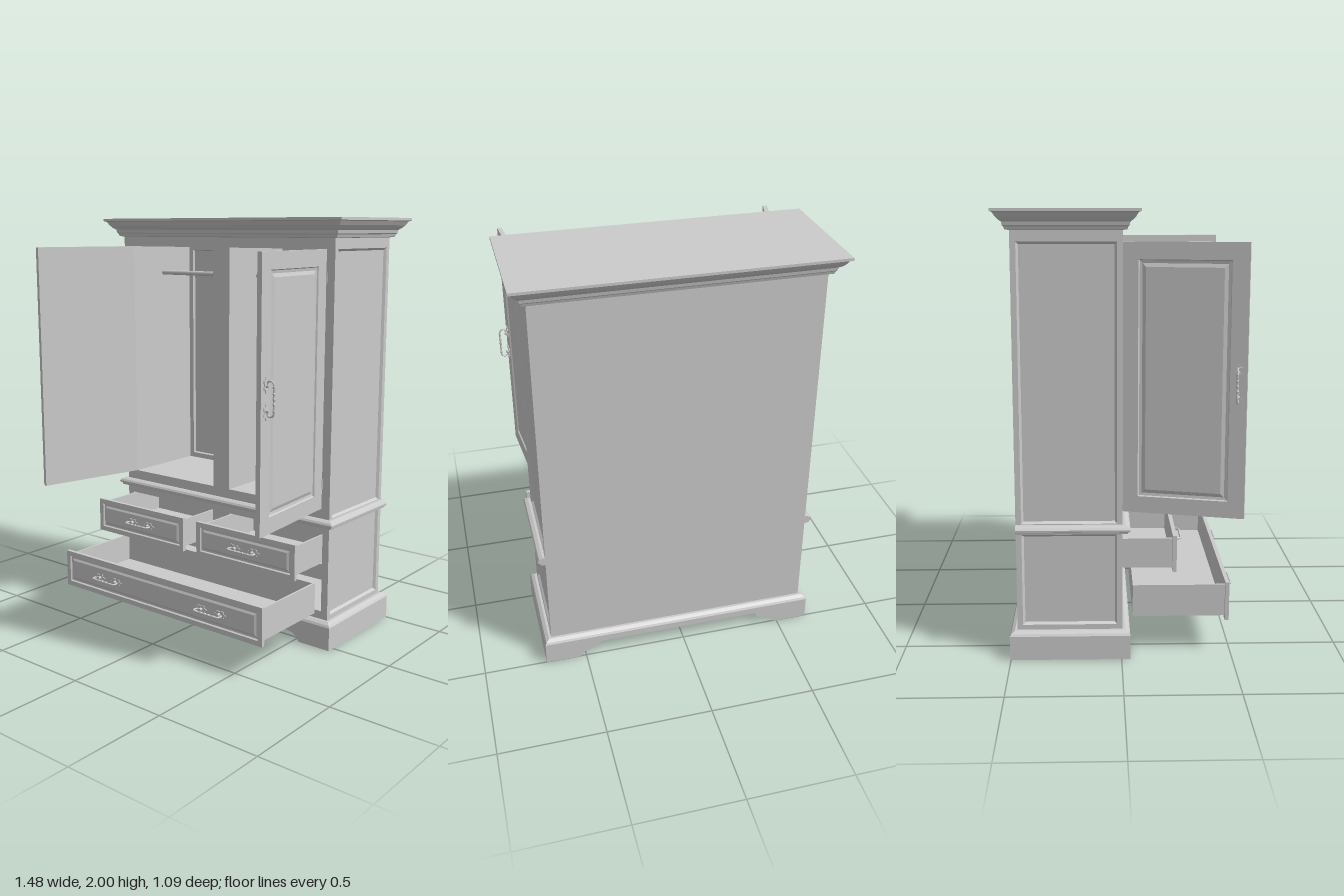
import * as THREE from 'three';

const mat = new THREE.MeshStandardMaterial({ color: 0xcccccc });
const CX = 0.022, HW = 0.643, ZB = -0.47, ZF = 0.005;
const ZC = (ZB + ZF) / 2, DEPTH = ZF - ZB;

function add(parent, name, geo, x = 0, y = 0, z = 0) {
  const m = new THREE.Mesh(geo, mat);
  m.name = name;
  m.position.set(x, y, z);
  parent.add(m);
  return m;
}

const box = (parent, name, x0, x1, y0, y1, z0, z1) =>
  add(parent, name, new THREE.BoxGeometry(x1 - x0, y1 - y0, z1 - z0),
    (x0 + x1) / 2, (y0 + y1) / 2, (z0 + z1) / 2);

// Mitred rectangle lofted through [inset, height] steps, capped at both ends.
// "topSide" scales the inset of the +y edge (0 keeps that edge flush).
function mitred(w, h, profile, topSide = 1) {
  const rings = profile.map(([i, z]) => {
    const x = w / 2 - i, b = -h / 2 + i, t = h / 2 - i * topSide;
    return [[-x, b, z], [x, b, z], [x, t, z], [-x, t, z]];
  });
  const pos = [];
  const quad = (a, b, c, d) => [a, b, c, a, c, d].forEach(p => pos.push(...p));
  const first = rings[0], last = rings[rings.length - 1];
  quad(first[3], first[2], first[1], first[0]);
  quad(...last);
  for (let r = 0; r < rings.length - 1; r++)
    for (let k = 0; k < 4; k++) {
      const n = (k + 1) % 4;
      quad(rings[r][k], rings[r][n], rings[r + 1][n], rings[r + 1][k]);
    }
  const g = new THREE.BufferGeometry();
  g.setAttribute('position', new THREE.Float32BufferAttribute(pos, 3));
  g.computeVertexNormals();
  return g;
}

// Horizontal moulding round the body; profile is [overhang, y]
function moulding(parent, name, profile, backSide = 1) {
  const g = mitred(2 * HW, DEPTH, profile.map(([o, y]) => [-o, y]), backSide);
  g.rotateX(-Math.PI / 2);
  add(parent, name, g, CX, 0, ZC);
}

function rectPath(Type, x0, x1, y0, y1) {
  const p = new Type();
  p.moveTo(x0, y0); p.lineTo(x1, y0); p.lineTo(x1, y1); p.lineTo(x0, y1); p.closePath();
  return p;
}

// Bail handle: bar along x, standing out towards +z
function makeHandle() {
  const g = new THREE.Group();
  g.name = 'handle';
  const half = [[0.05, 0.012], [0.068, 0.01], [0.075, 0.02], [0.07, 0.035], [0.055, 0.041], [0.025, 0.04]];
  const pts = [...half.map(([x, z]) => new THREE.Vector3(-x, 0, z)),
    ...half.slice().reverse().map(([x, z]) => new THREE.Vector3(x, 0, z))];
  add(g, 'bail', new THREE.TubeGeometry(new THREE.CatmullRomCurve3(pts), 40, 0.0045, 8));
  for (const x of [-0.05, -0.022, 0, 0.022, 0.05])
    add(g, 'bead', new THREE.SphereGeometry(0.0065, 10, 8), x, 0, 0.04).scale.x = 1.3;
  // scalloped plate and post at each end
  const outline = [];
  for (let i = 0; i < 48; i++) {
    const a = i / 48 * Math.PI * 2, r = 1 + 0.2 * Math.cos(6 * a);
    outline.push(new THREE.Vector2(0.03 * r * Math.cos(a), 0.017 * r * Math.sin(a)));
  }
  const plate = new THREE.ExtrudeGeometry(new THREE.Shape(outline), { depth: 0.004, bevelEnabled: false });
  for (const s of [-1, 1]) {
    add(g, 'backPlate', plate, s * 0.056, 0, 0);
    add(g, 'post', new THREE.CylinderGeometry(0.006, 0.009, 0.016, 10), s * 0.052, 0, 0.008).rotation.x = Math.PI / 2;
  }
  return g;
}

function makeDoor(name, side, angle) {
  const door = new THREE.Group(), w = 0.546, h = 1.188, t = 0.022;
  door.name = name;
  add(door, 'doorPanel', mitred(w, h, [[0, 0], [0, t], [0.074, t], [0.078, t - 0.007],
    [0.09, t - 0.009], [0.106, t - 0.003]]), -side * w / 2, 0, 0);
  const handle = makeHandle();
  handle.rotation.z = Math.PI / 2;
  handle.position.set(-side * 0.508, -0.003, t);
  door.add(handle);
  for (const y of [-0.475, 0.47])
    add(door, 'hinge', new THREE.CylinderGeometry(0.007, 0.007, 0.045, 10), 0, y, t);
  door.position.set(CX + side * 0.577, 1.268, ZF);
  door.rotation.y = side * THREE.MathUtils.degToRad(angle);
  return door;
}

// Drawer with open box; x centre, box half width, box y range, z of the front's rear face
function makeDrawer(name, cx, hw, y0, y1, z, handles) {
  const d = new THREE.Group(), t = 0.01, zb = z - 0.42, lip = 0.016, th = 0.018;
  d.name = name;
  box(d, 'drawerFloor', -hw, hw, y0, y0 + t, zb, z);
  box(d, 'drawerBack', -hw, hw, y0 + t, y1, zb, zb + t);
  for (const s of [-1, 1])
    box(d, 'drawerSide', ...(s < 0 ? [-hw, t - hw] : [hw - t, hw]), y0 + t, y1, zb + t, z);
  const yc = (y0 + y1) / 2;
  add(d, 'drawerFront', mitred(2 * (hw + lip), y1 - y0 + 2 * lip, [[0, 0], [0, th], [0.024, th],
    [0.028, th - 0.008], [0.036, th - 0.009], [0.046, th - 0.003]]), 0, yc, z);
  for (const x of handles) {
    const h = makeHandle();
    h.position.set(x, yc, z + th - 0.003);
    d.add(h);
  }
  d.position.x = cx;
  return d;
}

export function createModel() {
  const root = new THREE.Group();
  root.name = 'wardrobe';

  // Carcass: one block with the cupboards and drawer slots cut through
  const skin = 0.014, inner = HW - skin;
  const shape = rectPath(THREE.Shape, -inner, inner, 0.13, 1.887);
  for (const s of [-1, 1]) {
    const span = (a, b) => (s < 0 ? [-b, -a] : [a, b]);
    shape.holes.push(rectPath(THREE.Path, ...span(0.05, 0.577), 0.674, 1.862));
    shape.holes.push(rectPath(THREE.Path, ...span(0.054, 0.608), 0.405, 0.55));
  }
  shape.holes.push(rectPath(THREE.Path, -0.608, 0.608, 0.171, 0.328));
  add(root, 'carcass', new THREE.ExtrudeGeometry(shape, { depth: DEPTH - 0.02, bevelEnabled: false }), CX, 0, ZB + 0.02);
  box(root, 'backBoard', CX - inner, CX + inner, 0.13, 1.887, ZB, ZB + 0.02);

  for (const s of [-1, 1]) {
    // Recessed side panels, upper and lower
    for (const [y0, y1] of [[0.605, 1.887], [0.13, 0.605]]) {
      const m = add(root, 'sidePanel', mitred(DEPTH, y1 - y0, [[0, 0], [0, skin], [0.025, skin], [0.035, 0.003]]),
        CX + s * inner, (y0 + y1) / 2, ZC);
      m.rotation.y = s * Math.PI / 2;
    }
    // Cupboard back frame and hanging rail
    const cx = CX + s * 0.3135;
    add(root, 'cupboardBack', mitred(0.527, 1.188, [[0, 0], [0, 0.018], [0.026, 0.018], [0.03, 0.004]]), cx, 1.268, ZB + 0.02);
    add(root, 'hangingRail', new THREE.CylinderGeometry(0.012, 0.012, 0.527, 16), cx, 1.722, -0.22).rotation.z = Math.PI / 2;
    root.add(makeDrawer('smallDrawer', CX + s * 0.331, 0.273, 0.409, 0.546, 0.231, [0]));
  }
  root.add(makeDrawer('largeDrawer', CX, 0.603, 0.175, 0.324, 0.472, [-0.327, 0.327]));
  root.add(makeDoor('rightDoor', 1, 94.8));
  root.add(makeDoor('leftDoor', -1, 103.9));

  // Mouldings
  moulding(root, 'cornice', [[0, 1.887], [0, 1.91], [0.018, 1.913], [0.022, 1.925], [0.027, 1.93], [0.03, 1.945],
    [0.04, 1.952], [0.053, 1.966], [0.064, 1.984], [0.075, 1.988], [0.075, 2]]);
  moulding(root, 'waistMoulding', [[0.002, 0.585], [0.022, 0.588], [0.024, 0.597], [0.033, 0.601],
    [0.034, 0.61], [0.028, 0.619], [0.012, 0.626]], 0);
  moulding(root, 'plinthMoulding', [[0.034, 0.106], [0.034, 0.112], [0.028, 0.122], [0.012, 0.132]]);

  // Plinth: shaped front and back boards, plain ends
  const o = 0.034, pw = HW + o, th = 0.045, top = 0.106;
  const curve = [[0.507, 0], [0.49, 0.025], [0.47, 0.038], [0.43, 0.044], [0.412, 0.055], [0.402, 0.078]];
  const board = new THREE.Shape([[-pw, 0], ...curve.map(([x, y]) => [-x, y]), ...curve.slice().reverse(),
    [pw, 0], [pw, top], [-pw, top]].map(p => new THREE.Vector2(...p)));
  const boardGeo = new THREE.ExtrudeGeometry(board, { depth: th, bevelEnabled: false });
  add(root, 'plinthFront', boardGeo, CX, 0, ZF + o - th);
  add(root, 'plinthBack', boardGeo, CX, 0, ZB - o);
  for (const s of [-1, 1])
    box(root, 'plinthEnd', CX + s * (pw - th / 2) - th / 2, CX + s * (pw - th / 2) + th / 2, 0, top, ZB - o + th, ZF + o - th);

  return root;
}
